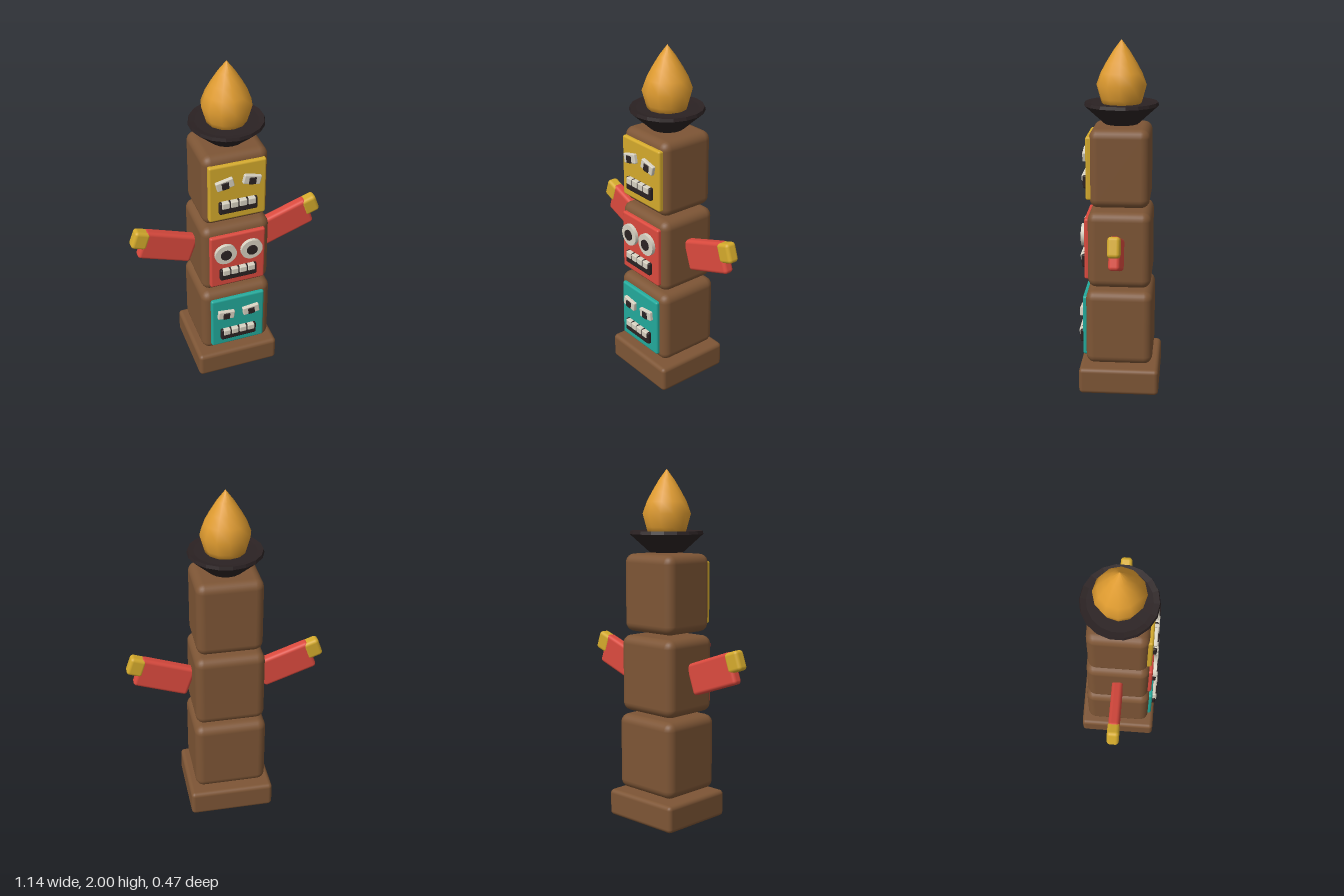
import * as THREE from 'three';
import { RoundedBoxGeometry } from 'three/addons/geometries/RoundedBoxGeometry.js';

const mat = (name, color) => {
  const m = new THREE.MeshStandardMaterial({ color });
  m.name = name;
  return m;
};

export function createModel() {
  const wood = mat('wood brown', 0x7d5535);
  const yellow = mat('yellow paint', 0xd4aa2c);
  const red = mat('red paint', 0xdb4a3e);
  const teal = mat('teal paint', 0x22a99b);
  const dark = mat('charcoal', 0x2b2223);
  const bone = mat('bone white', 0xd8d2c2);
  const amber = mat('amber', 0xe09c30);

  const model = new THREE.Group();
  model.name = 'totemPole';

  const add = (parent, name, geometry, material, x = 0, y = 0, z = 0) => {
    const mesh = new THREE.Mesh(geometry, material);
    mesh.name = name;
    mesh.position.set(x, y, z);
    parent.add(mesh);
    return mesh;
  };
  const box = (w, h, d, r) => new RoundedBoxGeometry(w, h, d, 3, r);

  // Base slab
  add(model, 'base', box(0.495, 0.155, 0.457, 0.024), wood, 0, 0.0775, 0);

  // Stacked heads; tilt turns the square eyes, round heads get disc eyes
  const heads = [
    { name: 'lowerHead', y: 0.39, w: 0.42, d: 0.38, paint: teal, tilt: -0.12 },
    { name: 'middleHead', y: 0.85, w: 0.4, d: 0.357, paint: red, round: true },
    { name: 'upperHead', y: 1.312, w: 0.374, d: 0.335, paint: yellow, tilt: 0.23 },
  ];
  for (const h of heads) {
    const head = new THREE.Group();
    head.name = h.name;
    head.position.y = h.y;
    model.add(head);
    add(head, 'block', box(h.w, 0.44, h.d, 0.05), wood);

    const front = h.d / 2 + 0.02; // surface of the painted face
    add(head, 'facePlate', box(0.326, 0.355, 0.05, 0.012), h.paint, 0, 0, front - 0.025);

    // Eyes
    for (const s of [-1, 1]) {
      const eye = new THREE.Group();
      eye.name = s > 0 ? 'leftEye' : 'rightEye';
      eye.position.set(s * 0.077, h.round ? 0.062 : 0.068, front);
      head.add(eye);
      if (h.round) {
        const white = new THREE.CylinderGeometry(0.064, 0.064, 0.03, 20).rotateX(Math.PI / 2);
        const pupil = new THREE.CylinderGeometry(0.032, 0.032, 0.03, 16).rotateX(Math.PI / 2);
        add(eye, 'eyeWhite', white, bone, 0, 0, 0.006);
        add(eye, 'pupil', pupil, dark, 0, 0, 0.013);
      } else {
        const white = add(eye, 'eyeWhite', box(0.1, 0.055, 0.03, 0.006), bone, 0, 0, 0.005);
        white.rotation.z = -s * h.tilt;
        const pupil = add(eye, 'pupil', box(0.04, 0.042, 0.03, 0.004), dark, 0, -0.004, 0.011);
        pupil.rotation.z = -s * h.tilt * 0.5;
      }
    }

    // Mouth with four upper teeth
    add(head, 'mouth', box(0.22, 0.076, 0.035, 0.01), dark, 0, -0.086, front + 0.004);
    for (let i = 0; i < 4; i++) {
      add(head, 'tooth', box(0.043, 0.04, 0.03, 0.006), bone, -0.075 + i * 0.05, -0.066, front + 0.013);
    }
  }

  // Raised arms with hands
  for (const s of [-1, 1]) {
    const arm = new THREE.Group();
    arm.name = s > 0 ? 'leftArm' : 'rightArm';
    model.add(arm);
    const limb = add(arm, 'limb', box(0.325, 0.18, 0.062, 0.02), red, s * 0.357, 0.89, 0);
    const hand = add(arm, 'hand', box(0.095, 0.112, 0.068, 0.02), yellow, s * 0.512, 0.977, 0);
    limb.rotation.z = hand.rotation.z = s * 0.34;
  }

  // Flared dish, faceted
  const v = (x, y) => new THREE.Vector2(x, y);
  const dish = new THREE.LatheGeometry(
    [v(0, 1.54), v(0.095, 1.54), v(0.208, 1.642), v(0.203, 1.66), v(0.172, 1.655), v(0, 1.65)], 18,
  ).toNonIndexed();
  dish.computeVertexNormals();
  add(model, 'dish', dish, dark);

  // Flame
  const flame = new THREE.LatheGeometry(
    [v(0, 1.645), v(0.108, 1.645), v(0.118, 1.68), v(0.139, 1.755), v(0.115, 1.82), v(0.085, 1.875), v(0.045, 1.94), v(0, 2)], 12,
  );
  add(model, 'flame', flame, amber);

  return model;
}
